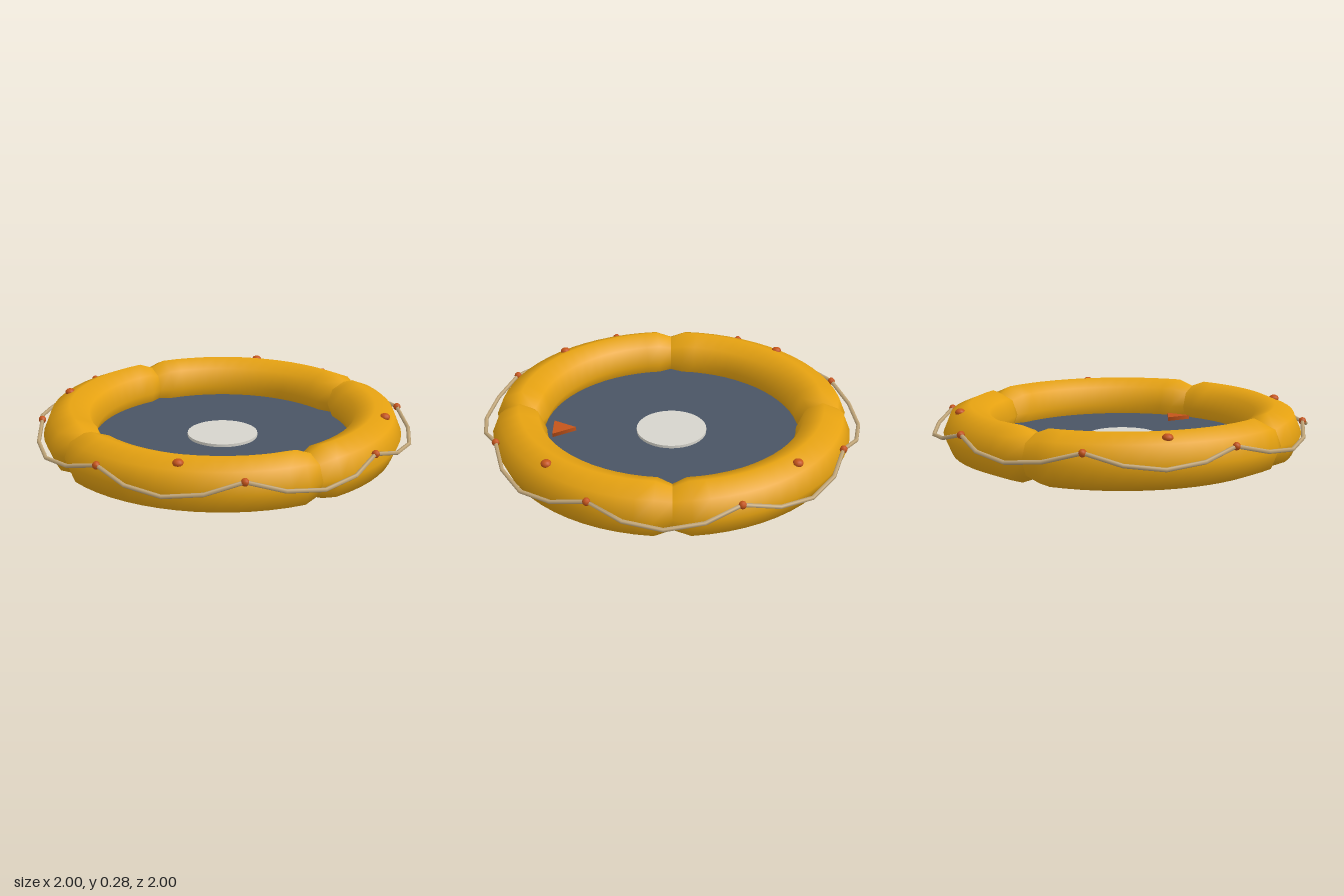
import * as THREE from 'three';

const RING = 0.8;   // radius of the raft ring
const TUBE = 0.141; // radius of the inflated tube

// Rope path: eight sagging spans hung between the knots
class RopeCurve extends THREE.Curve {
  constructor() {
    super();
    this.arcLengthDivisions = 640;
  }
  getPoint(t, target = new THREE.Vector3()) {
    const a = THREE.MathUtils.degToRad(25) + t * Math.PI * 2;
    const sag = Math.abs(Math.sin(t * 8 * Math.PI));
    const r = 0.945 + 0.045 * sag;
    return target.set(r * Math.cos(a), 0.21 - 0.068 * sag, r * Math.sin(a));
  }
}

// Quarter of the ring, eight-sided, pinched at both ends
function quarterTube(steps = 16, sides = 8) {
  const pos = [], index = [];
  for (let i = 0; i <= steps; i++) {
    const a = (i / steps) * Math.PI / 2;
    const r = i === 0 || i === steps ? 0.11 : TUBE;
    for (let j = 0; j < sides; j++) {
      const v = (j / sides) * Math.PI * 2;
      const d = RING + r * Math.cos(v);
      pos.push(d * Math.cos(a), TUBE + r * Math.sin(v), d * Math.sin(a));
      if (i === steps) continue;
      const p = i * sides + j, q = i * sides + (j + 1) % sides;
      index.push(p, q, p + sides, q, q + sides, p + sides);
    }
  }
  const geo = new THREE.BufferGeometry();
  geo.setAttribute('position', new THREE.Float32BufferAttribute(pos, 3));
  geo.setIndex(index);
  geo.computeVertexNormals();
  return geo;
}

export function createModel() {
  const raft = new THREE.Group();
  raft.name = 'lifeRaft';

  const material = (name, color) => {
    const m = new THREE.MeshStandardMaterial({ color });
    m.name = name;
    return m;
  };
  const yellow = material('yellowRubber', 0xe6a211);
  const slate = material('slateFloor', 0x4a5564);
  const pale = material('paleGrey', 0xd6d4cc);
  const orange = material('orangeFittings', 0xc4541a);
  const tan = material('tanRope', 0xc4a97c);

  const add = (name, geo, mat, x = 0, y = 0, z = 0) => {
    const mesh = new THREE.Mesh(geo, mat);
    mesh.name = name;
    mesh.position.set(x, y, z);
    raft.add(mesh);
    return mesh;
  };

  // Inflated ring in four sections
  const section = quarterTube();
  for (let i = 0; i < 4; i++) {
    add('tubeSection', section, yellow).rotation.y = i * Math.PI / 2;
  }

  // Floor and centre pad
  add('floor', new THREE.CylinderGeometry(0.73, 0.73, 0.055, 64), slate, 0, 0.06, 0);
  add('centrePad', new THREE.CylinderGeometry(0.186, 0.186, 0.015, 40), pale, 0, 0.095, 0);

  // Triangular marker pointing to the centre
  const marker = new THREE.CylinderGeometry(0.081, 0.081, 0.022, 3);
  marker.rotateY(Math.PI);
  add('arrowMarker', marker, orange, 0, 0.098, 0.59);

  // Grab rope and its knots
  add('grabRope', new THREE.TubeGeometry(new RopeCurve(), 32, 0.011, 5, true), tan);
  const knot = new THREE.SphereGeometry(0.02, 8, 6);
  for (let i = 0; i < 8; i++) {
    const a = THREE.MathUtils.degToRad(25 + i * 45);
    add('ropeKnot', knot, orange, 0.945 * Math.cos(a), 0.21, 0.945 * Math.sin(a));
  }

  // Valves on top of each section
  const valve = new THREE.SphereGeometry(0.027, 12, 8);
  valve.scale(1, 0.75, 1);
  for (const x of [-0.605, 0.605]) {
    for (const z of [-0.605, 0.605]) add('valve', valve, orange, x, 0.26, z);
  }

  return raft;
}
